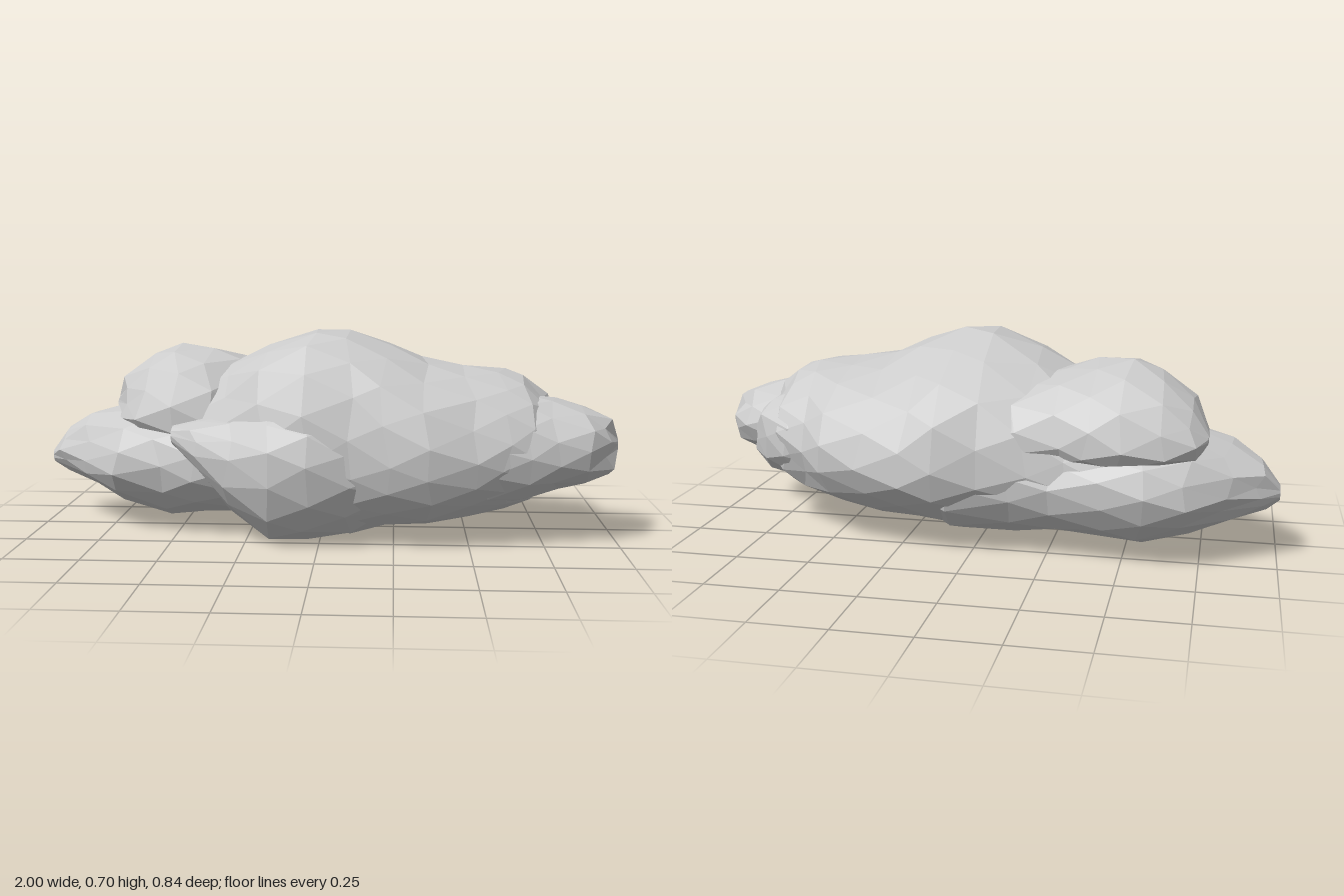
import * as THREE from 'three';

const material = new THREE.MeshStandardMaterial({ color: 0xcccccc, flatShading: true });

// Small repeatable wobble in the range -1..1
function wobble(i, j, seed) {
  const s = Math.sin(i * 12.99 + j * 78.23 + seed * 37.7) * 43758.55;
  return 2 * (s - Math.floor(s)) - 1;
}

// Faceted lobe lofted along x. Section: [x, top, bottom, front, back, crestZ, waistY]
function lobe(name, sections, sides, seed) {
  const points = [], index = [];
  sections.forEach(([x, top, bottom, front, back, crestZ, waistY], i) => {
    const end = i === 0 || i === sections.length - 1;
    for (let j = 0; j < sides; j++) {
      const a = ((j + (i % 2) * 0.5) / sides) * Math.PI * 2;
      const s = Math.sin(a), c = Math.cos(a);
      const k = 1.012 + 0.02 * wobble(i, j, seed);
      points.push(
        x + (end ? 0 : 0.02 * wobble(j, i, seed + 1)),
        Math.max(0, waistY + k * s * (s > 0 ? top - waistY : waistY - bottom)),
        crestZ + k * c * (c > 0 ? front - crestZ : crestZ - back));
    }
  });
  // Triangles between staggered rings
  for (let i = 0; i < sections.length - 1; i++) {
    for (let j = 0; j < sides; j++) {
      const n = (j + 1) % sides;
      const a = i * sides + j, b = a + sides, c = (i + 1) * sides + n, d = i * sides + n;
      if (i % 2) index.push(a, b, c, a, c, d);
      else index.push(a, b, d, b, c, d);
    }
  }
  // Closed ends
  const last = (sections.length - 1) * sides;
  for (let j = 1; j < sides - 1; j++) {
    index.push(0, j, j + 1);
    index.push(last, last + j + 1, last + j);
  }
  const geometry = new THREE.BufferGeometry();
  geometry.setAttribute('position', new THREE.Float32BufferAttribute(points, 3));
  geometry.setIndex(index);
  const flat = geometry.toNonIndexed();
  flat.computeVertexNormals();
  const mesh = new THREE.Mesh(flat, material);
  mesh.name = name;
  return mesh;
}

export function createModel() {
  const group = new THREE.Group();
  group.name = 'lumpyRock';

  // Broad central mass
  group.add(lobe('mainBody', [
    [-0.60, 0.42, 0.18, 0.02, -0.28, -0.10, 0.30],
    [-0.46, 0.51, 0.09, 0.15, -0.36, -0.05, 0.29],
    [-0.32, 0.575, 0.07, 0.26, -0.35, 0.00, 0.29],
    [-0.18, 0.65, 0.04, 0.35, -0.36, 0.07, 0.29],
    [-0.03, 0.705, 0.02, 0.39, -0.38, 0.12, 0.30],
    [0.10, 0.695, 0.02, 0.385, -0.41, 0.12, 0.30],
    [0.22, 0.655, 0.04, 0.40, -0.405, 0.09, 0.29],
    [0.36, 0.61, 0.045, 0.40, -0.38, 0.07, 0.29],
    [0.50, 0.585, 0.07, 0.365, -0.34, 0.06, 0.30],
    [0.61, 0.575, 0.10, 0.345, -0.27, 0.06, 0.31],
    [0.69, 0.555, 0.13, 0.32, -0.23, 0.06, 0.32],
    [0.755, 0.49, 0.18, 0.27, -0.17, 0.06, 0.33],
    [0.80, 0.41, 0.25, 0.20, -0.08, 0.06, 0.33],
  ], 17, 1));

  // Bulge low on the front, with the lowest point underneath
  group.add(lobe('frontBulge', [
    [-0.50, 0.39, 0.32, 0.23, 0.12, 0.16, 0.36],
    [-0.42, 0.41, 0.22, 0.295, 0.02, 0.16, 0.33],
    [-0.30, 0.43, 0.10, 0.35, 0.00, 0.17, 0.30],
    [-0.17, 0.48, 0.00, 0.41, 0.00, 0.18, 0.29],
    [-0.04, 0.50, 0.01, 0.415, 0.00, 0.18, 0.29],
    [0.09, 0.46, 0.03, 0.385, 0.02, 0.18, 0.28],
    [0.24, 0.38, 0.10, 0.34, 0.06, 0.18, 0.26],
  ], 13, 6));

  // Narrow nose at the left end
  group.add(lobe('leftNose', [
    [0.42, 0.46, 0.14, 0.34, -0.06, 0.14, 0.30],
    [0.56, 0.49, 0.12, 0.355, -0.07, 0.14, 0.30],
    [0.68, 0.50, 0.14, 0.335, -0.07, 0.14, 0.31],
    [0.78, 0.485, 0.18, 0.315, -0.05, 0.14, 0.32],
    [0.89, 0.46, 0.20, 0.29, -0.02, 0.14, 0.33],
    [0.96, 0.42, 0.23, 0.235, 0.03, 0.13, 0.33],
    [1.00, 0.35, 0.30, 0.14, 0.09, 0.12, 0.33],
  ], 12, 2));

  // Knob behind the nose
  group.add(lobe('backKnob', [
    [0.54, 0.47, 0.19, 0.04, -0.25, -0.10, 0.33],
    [0.66, 0.49, 0.17, 0.05, -0.245, -0.10, 0.33],
    [0.76, 0.465, 0.20, 0.04, -0.205, -0.09, 0.34],
    [0.81, 0.41, 0.26, 0.00, -0.155, -0.08, 0.34],
    [0.83, 0.36, 0.32, -0.05, -0.10, -0.075, 0.34],
  ], 10, 3));

  // Low tapering lobe at the right end, running on beneath the body
  group.add(lobe('rightLobe', [
    [-1.00, 0.25, 0.20, -0.10, -0.16, -0.13, 0.23],
    [-0.94, 0.33, 0.17, -0.03, -0.22, -0.12, 0.24],
    [-0.83, 0.39, 0.13, 0.07, -0.29, -0.11, 0.24],
    [-0.70, 0.43, 0.08, 0.18, -0.37, -0.10, 0.25],
    [-0.56, 0.45, 0.03, 0.21, -0.395, -0.10, 0.25],
    [-0.42, 0.44, 0.045, 0.25, -0.385, -0.09, 0.25],
    [-0.28, 0.43, 0.05, 0.26, -0.355, -0.08, 0.25],
    [-0.12, 0.42, 0.04, 0.26, -0.365, -0.08, 0.25],
    [0.06, 0.40, 0.035, 0.20, -0.38, -0.09, 0.25],
    [0.26, 0.30, 0.16, 0.05, -0.27, -0.09, 0.24],
  ], 14, 4));

  // Rounded puff sitting on top of the right lobe
  group.add(lobe('upperPuff', [
    [-0.765, 0.44, 0.40, -0.15, -0.27, -0.21, 0.42],
    [-0.71, 0.53, 0.32, 0.04, -0.33, -0.13, 0.41],
    [-0.62, 0.605, 0.28, 0.14, -0.365, -0.10, 0.40],
    [-0.50, 0.64, 0.26, 0.19, -0.375, -0.06, 0.39],
    [-0.39, 0.63, 0.26, 0.18, -0.37, -0.05, 0.39],
    [-0.29, 0.605, 0.27, 0.11, -0.35, -0.06, 0.39],
    [-0.15, 0.57, 0.29, 0.05, -0.35, -0.08, 0.39],
    [0.02, 0.50, 0.32, 0.00, -0.29, -0.10, 0.39],
  ], 13, 5));

  return group;
}
